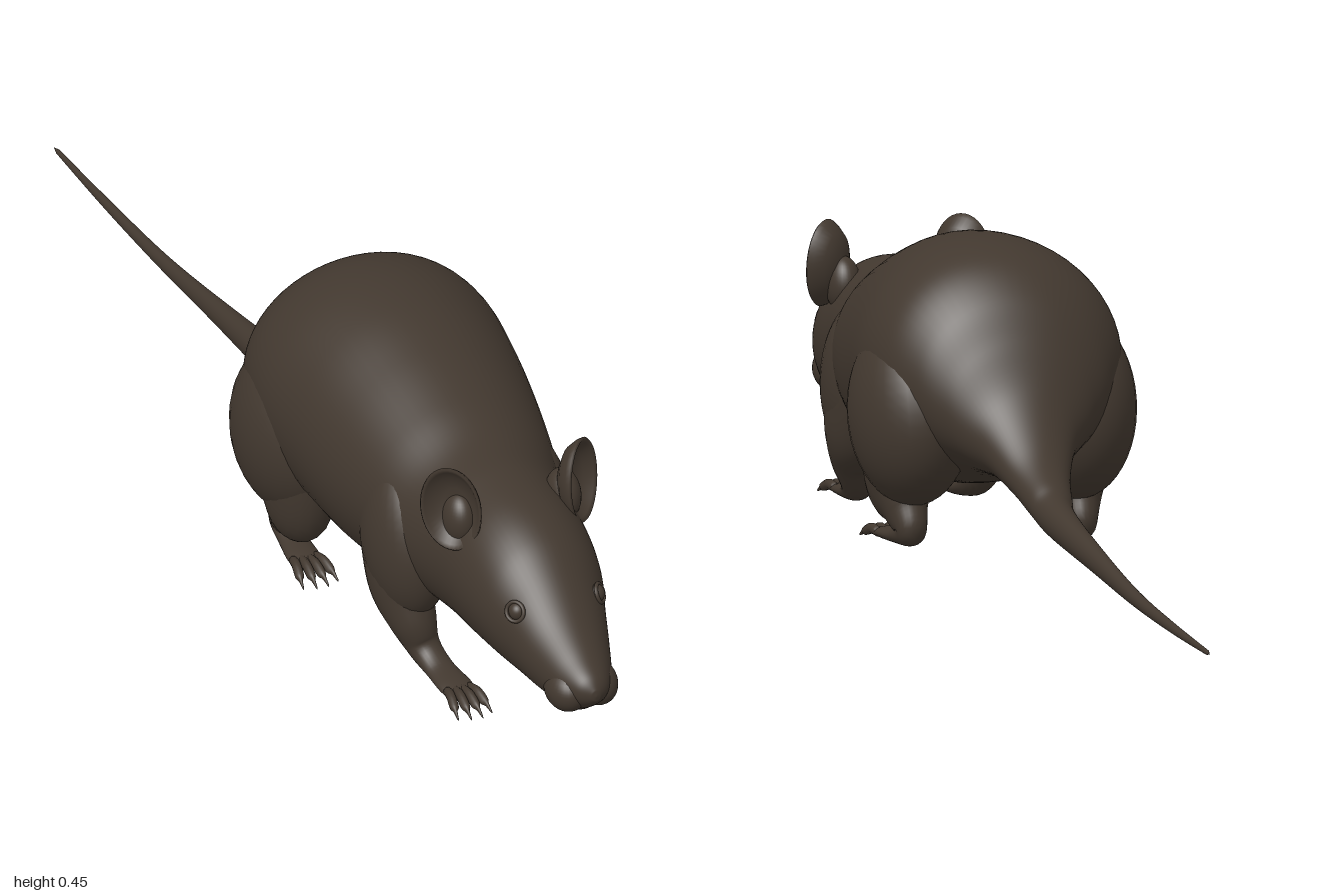
import * as THREE from 'three';

const fur = new THREE.MeshStandardMaterial({ color: 0x42382f });
fur.name = 'dark brown fur';

function add(parent, name, geometry) {
  const mesh = new THREE.Mesh(geometry, fur);
  mesh.name = name;
  parent.add(mesh);
  return mesh;
}

// Smooth interpolation of every column of a row list
function sample(rows, t) {
  const f = t * (rows.length - 1);
  const i = Math.min(Math.floor(f), rows.length - 2);
  const u = f - i;
  const at = (k) => rows[Math.max(0, Math.min(rows.length - 1, k))];
  return rows[0].map((_, c) => {
    const a = at(i - 1)[c], b = at(i)[c], d = at(i + 1)[c], e = at(i + 2)[c];
    return b + 0.5 * u * (d - a + u * (2 * a - 5 * b + 4 * d - e + u * (3 * (b - d) + e - a)));
  });
}

// Skin over elliptical rings; rows are [x, y, z, side radius, other radius]
function loft(rows, steps, sides, axis) {
  const position = [], index = [];
  const point = (t) => new THREE.Vector3(...sample(rows, t).slice(0, 3));
  const X = new THREE.Vector3(1, 0, 0);
  for (let i = 0; i <= steps; i++) {
    const t = i / steps;
    const r = sample(rows, t);
    const T = axis || point(Math.min(1, t + 0.01)).sub(point(Math.max(0, t - 0.01))).normalize();
    const N = new THREE.Vector3().crossVectors(T, X).normalize();
    const S = new THREE.Vector3().crossVectors(N, T);
    // the first and last rings close to a point
    const k = i === 0 || i === steps ? 0.001 : 1;
    for (let j = 0; j < sides; j++) {
      const a = (j / sides) * Math.PI * 2;
      const p = new THREE.Vector3(r[0], r[1], r[2])
        .addScaledVector(S, k * r[3] * Math.cos(a))
        .addScaledVector(N, k * r[4] * Math.sin(a));
      position.push(p.x, p.y, p.z);
      if (i < steps) {
        const n = (j + 1) % sides, o = i * sides;
        index.push(o + j, o + n, o + sides + n, o + j, o + sides + n, o + sides + j);
      }
    }
  }
  const g = new THREE.BufferGeometry();
  g.setAttribute('position', new THREE.Float32BufferAttribute(position, 3));
  g.setIndex(index);
  g.computeVertexNormals();
  return g;
}

function ellipsoid(parent, name, [x, y, z], [rx, ry, rz], tilt = 0) {
  const mesh = add(parent, name, new THREE.SphereGeometry(1, 32, 24));
  mesh.position.set(x, y, z);
  mesh.scale.set(rx, ry, rz);
  mesh.rotation.x = tilt;
  return mesh;
}

// Clawed toes fanned out from the front of a foot
function toes(parent, name, cx, z, length, fan) {
  for (let i = 0; i < 4; i++) {
    const k = (i - 1.5) / 1.5;
    const x = cx + k * 0.016, dx = k * fan;
    const l = length * (1 - 0.15 * Math.abs(k));
    add(parent, name, loft([
      [x, 0.016, z, 0.007, 0.007],
      [x + dx * 0.4, 0.02, z + l * 0.35, 0.007, 0.008],
      [x + dx * 0.7, 0.014, z + l * 0.65, 0.007, 0.007],
      [x + dx * 0.85, 0.011, z + l * 0.78, 0.003, 0.004],
      [x + dx, 0.004, z + l, 0.001, 0.001],
    ], 16, 10));
  }
}

// Everything on the left half
function buildSide(name) {
  const side = new THREE.Group();
  side.name = name;

  ellipsoid(side, 'shoulder', [0.098, 0.2, 0.52], [0.062, 0.125, 0.09], -0.2);
  add(side, 'frontLeg', loft([
    [0.11, 0.21, 0.5, 0.045, 0.07],
    [0.108, 0.13, 0.525, 0.046, 0.062],
    [0.102, 0.08, 0.555, 0.036, 0.042],
    [0.092, 0.04, 0.575, 0.025, 0.026],
    [0.084, 0.021, 0.615, 0.023, 0.014],
    [0.08, 0.017, 0.665, 0.026, 0.01],
    [0.08, 0.015, 0.695, 0.02, 0.007],
  ], 48, 24));
  toes(side, 'frontToe', 0.08, 0.67, 0.08, 0.011);

  ellipsoid(side, 'thigh', [0.125, 0.205, 0.175], [0.09, 0.14, 0.125], 0.25);
  add(side, 'hindLeg', loft([
    [0.13, 0.17, 0.2, 0.06, 0.095],
    [0.133, 0.1, 0.2, 0.05, 0.075],
    [0.132, 0.06, 0.172, 0.033, 0.042],
    [0.13, 0.031, 0.152, 0.023, 0.024],
    [0.133, 0.02, 0.185, 0.022, 0.014],
    [0.137, 0.017, 0.235, 0.025, 0.01],
    [0.138, 0.015, 0.262, 0.02, 0.007],
  ], 48, 24));
  toes(side, 'hindToe', 0.138, 0.235, 0.08, 0.012);

  // Cupped ear
  const profile = [
    [0.0005, -0.026], [0.02, -0.024], [0.036, -0.014], [0.045, 0], [0.048, 0.008],
    [0.046, 0.011], [0.042, 0.007], [0.033, -0.006], [0.018, -0.014], [0.0005, -0.016],
  ].map(([r, h]) => new THREE.Vector2(r, h));
  const ear = add(side, 'ear', new THREE.LatheGeometry(profile, 40)
    .rotateX(Math.PI / 2).scale(1, 1.38, 1));
  ear.position.set(0.1, 0.347, 0.7);
  ear.rotation.set(-0.1, 0.75, -0.12, 'YXZ');
  ellipsoid(side, 'earRoot', [0.083, 0.318, 0.685], [0.026, 0.042, 0.034]);

  // Eye with its lid
  ellipsoid(side, 'eye', [0.063, 0.245, 0.853], [0.013, 0.014, 0.014]);
  const lid = add(side, 'eyelid', new THREE.TorusGeometry(0.0145, 0.003, 10, 28));
  lid.position.set(0.068, 0.246, 0.856);
  lid.rotation.set(-0.35, 0.95, 0, 'YXZ');

  ellipsoid(side, 'muzzlePad', [0.024, 0.153, 0.942], [0.031, 0.034, 0.042]);
  ellipsoid(side, 'nostril', [0.011, 0.16, 0.983], [0.009, 0.009, 0.011]);
  return side;
}

export function createModel() {
  const model = new THREE.Group();
  model.name = 'rat';

  // Head, torso and tail as [z, top, bottom, half width]
  const outline = [
    [1, 0.17, 0.156, 0.005], [0.985, 0.19, 0.14, 0.026], [0.95, 0.213, 0.118, 0.046],
    [0.9, 0.247, 0.113, 0.064], [0.85, 0.289, 0.112, 0.08], [0.8, 0.326, 0.112, 0.097],
    [0.74, 0.35, 0.11, 0.108], [0.66, 0.362, 0.107, 0.116], [0.58, 0.369, 0.1, 0.131],
    [0.5, 0.395, 0.09, 0.152], [0.4, 0.427, 0.073, 0.172], [0.3, 0.451, 0.076, 0.186],
    [0.2, 0.456, 0.09, 0.195], [0.12, 0.437, 0.11, 0.183], [0.06, 0.39, 0.12, 0.15],
    [0.02, 0.325, 0.121, 0.113], [-0.02, 0.25, 0.116, 0.075], [-0.08, 0.18, 0.098, 0.048],
    [-0.14, 0.14, 0.076, 0.034], [-0.2, 0.114, 0.06, 0.025], [-0.4, 0.077, 0.04, 0.015],
    [-0.6, 0.045, 0.022, 0.01], [-0.8, 0.026, 0.011, 0.007], [-1, 0.012, 0.005, 0.003],
  ];
  const rows = outline.map(([z, top, bottom, w]) =>
    [0, (top + bottom) / 2, z, w, (top - bottom) / 2]);
  add(model, 'body', loft(rows, 184, 56, new THREE.Vector3(0, 0, -1)));

  ellipsoid(model, 'noseTip', [0, 0.166, 0.985], [0.014, 0.013, 0.014]);
  ellipsoid(model, 'lowerJaw', [0, 0.125, 0.915], [0.034, 0.016, 0.045]);

  const left = buildSide('leftSide');
  const right = buildSide('rightSide');
  right.scale.x = -1;
  model.add(left, right);
  return model;
}
